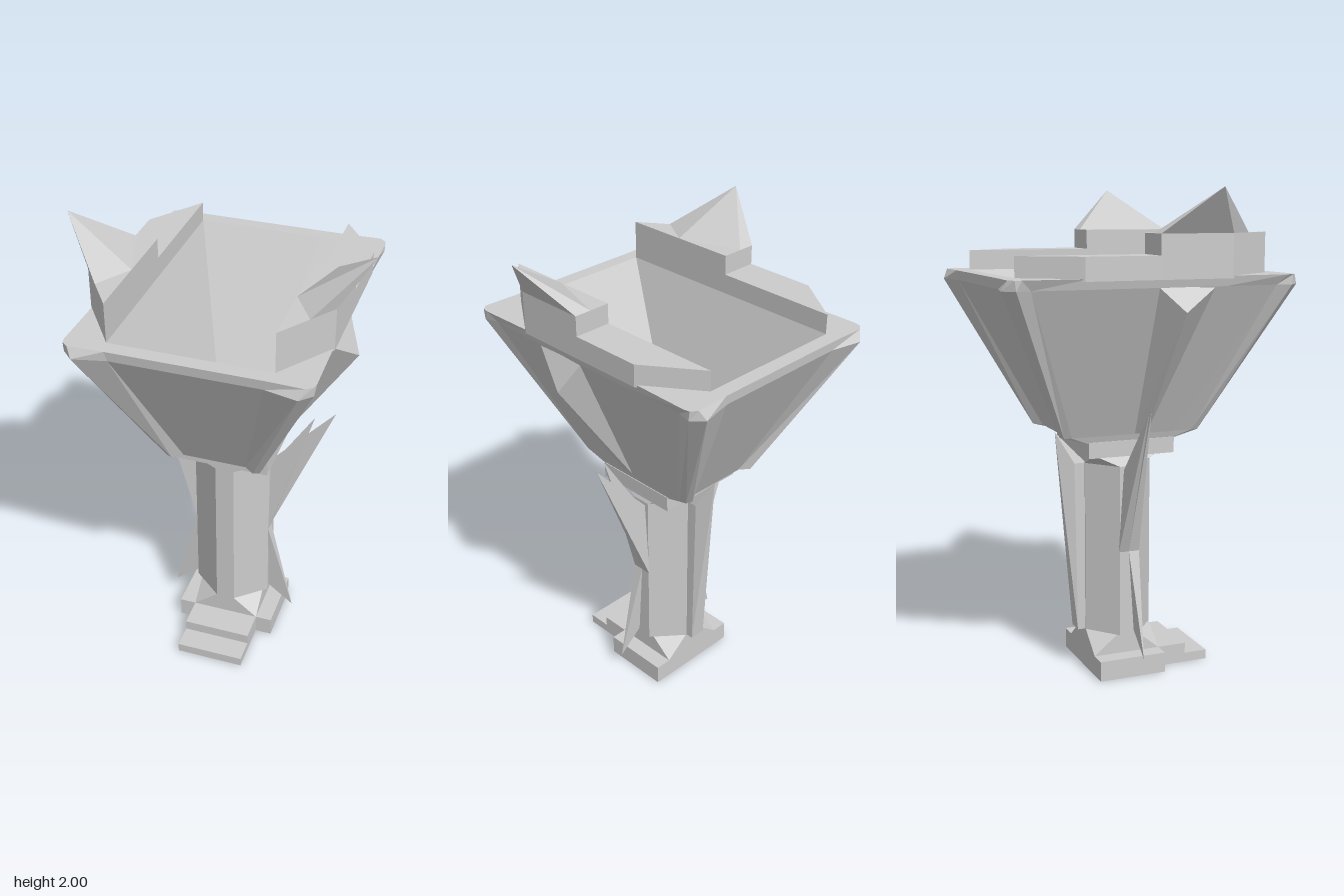
import * as THREE from 'three';
import { ConvexGeometry } from 'three/addons/geometries/ConvexGeometry.js';

export function createModel() {
  const model = new THREE.Group();
  model.name = 'watchTower';
  const stone = new THREE.MeshStandardMaterial({ color: 0xcccccc });
  stone.name = 'stone';

  const add = (name, geometry) => {
    const mesh = new THREE.Mesh(geometry, stone);
    mesh.name = name;
    model.add(mesh);
  };
  const hull = (name, points) =>
    add(name, new ConvexGeometry(points.map((p) => new THREE.Vector3(...p))));
  const box = (name, x0, x1, y0, y1, z0, z1) => {
    const g = new THREE.BoxGeometry(x1 - x0, y1 - y0, z1 - z0);
    add(name, g.translate((x0 + x1) / 2, (y0 + y1) / 2, (z0 + z1) / 2));
  };
  // Straight prism over a plan of [x, z] corners
  const prism = (name, plan, y0, y1) =>
    hull(name, plan.flatMap(([x, z]) => [[x, y0, z], [x, y1, z]]));

  // Mirrors a quarter plan, running from the +x side to the +z side, into a full ring
  const ring = (y, quarter) => {
    const back = [...quarter].reverse();
    return [
      ...quarter.map(([x, z]) => [x, y, z]),
      ...back.map(([x, z]) => [-x, y, z]),
      ...quarter.map(([x, z]) => [-x, y, -z]),
      ...back.map(([x, z]) => [x, y, -z]),
    ];
  };
  const loft = (rings) => {
    const pos = [];
    const tri = (...pts) => pts.forEach((p) => pos.push(...p));
    const n = rings[0].length;
    for (let i = 0; i < rings.length - 1; i++) {
      for (let j = 0; j < n; j++) {
        const k = (j + 1) % n;
        const [a, b, c, d] = [rings[i][j], rings[i][k], rings[i + 1][j], rings[i + 1][k]];
        tri(a, c, b);
        tri(b, c, d);
      }
    }
    const last = rings[rings.length - 1];
    for (let j = 1; j < n - 1; j++) tri(last[0], last[j + 1], last[j]);
    const g = new THREE.BufferGeometry();
    g.setAttribute('position', new THREE.Float32BufferAttribute(pos, 3));
    g.computeVertexNormals();
    return g;
  };

  // Stepped base
  box('base', -0.215, 0.215, 0, 0.085, -0.145, 0.145);
  box('upperStep', -0.145, 0.145, 0, 0.085, 0.145, 0.27);
  box('lowerStep', -0.145, 0.145, 0, 0.04, 0.27, 0.37);

  // Column with cut corners, square at foot and head
  const square = [[0.145, 0.145]];
  const cut = [[0.165, 0.04], [0.04, 0.145]];
  hull('columnFoot', [...ring(0.085, square), ...ring(0.17, [[0.145, 0.04], [0.04, 0.145]])]);
  hull('column', [...ring(0.17, cut), ...ring(0.89, cut)]);
  hull('columnHead', [...ring(0.89, cut), ...ring(0.94, [[0.14, 0.145]])]);
  box('collar', -0.195, 0.195, 0.94, 1.005, -0.185, 0.185);

  // Hollow bowl: outer skin, rim, inner funnel and floor
  add('bowl', loft([
    ring(1.0, [[0.19, 0.1], [0.19, 0.17], [0.19, 0.185], [0.18, 0.19], [0.1, 0.19]]),
    ring(1.03, [[0.2, 0.18], [0.2, 0.26], [0.195, 0.29], [0.17, 0.3], [0.13, 0.27]]),
    ring(1.63, [[0.455, 0.28], [0.45, 0.5], [0.465, 0.56], [0.42, 0.605], [0.29, 0.575]]),
    ring(1.67, [[0.465, 0.28], [0.47, 0.54], [0.465, 0.565], [0.44, 0.585], [0.3, 0.58]]),
    ring(1.67, [[0.315, 0.28], [0.315, 0.52], [0.315, 0.52], [0.315, 0.52], [0.2, 0.52]]),
    ring(1.05, [[0.105, 0.06], [0.105, 0.105], [0.105, 0.105], [0.105, 0.105], [0.06, 0.105]]),
  ]));

  // Rear buttress with a raised point
  hull('rearButtress', [
    ...[-0.035, 0.035].flatMap((x) => [
      [x, 0.17, -0.14], [x, 0.17, -0.178], [x, 0.89, -0.14], [x, 0.89, -0.19],
    ]),
    [0, 1.02, -0.262],
  ]);

  for (const s of [1, -1]) {
    const side = s > 0 ? 'left' : 'right';

    // Parapets and horn
    prism(side + 'FrontParapet',
      [[0.315 * s, 0], [0.47 * s, 0], [0.47 * s, 0.3], [0.315 * s, 0.52]], 1.66, 1.83);
    prism(side + 'RearParapet',
      [[0.315 * s, 0], [0.47 * s, 0], [0.47 * s, -0.3], [0.315 * s, -0.52]], 1.66, 1.75);
    hull(side + 'Horn', [
      ...[[0.4, 0], [0.47, 0], [0.47, 0.3], [0.4, 0.4], [0.315, 0.26]].map(([x, z]) => [x * s, 1.83, z]),
      [0.585 * s, 2, 0.2],
    ]);

    // Fin running down the side of the bowl
    const tip = s > 0 ? [0.515, 1.51, 0.07] : [-0.53, 1.54, 0.08];
    hull(side + 'BowlFin', [
      [0.45 * s, 1.63, 0.24], [0.46 * s, 1.63, 0], [0.4 * s, 1.55, 0.1], tip,
      [0.2 * s, 1.03, 0.06], [0.2 * s, 1.03, 0.01],
    ]);

    // Thin blades sweeping up and down from the column
    const blade = (name, point, y0, y1, z0, z1) => hull(side + name, [
      [0.165 * s, y0, z0], [0.165 * s, y0, z1], [0.16 * s, y1, (z0 + z1) / 2], point,
    ]);
    blade('OuterBlade', [0.42 * s, 1.155, -0.022], 0.53, 0.87, -0.045, 0);
    blade('InnerBlade', [0.345 * s, 1.15, 0.02], 0.53, 0.86, 0, 0.045);
    blade('LowerBlade', [0.277 * s, 0.095, 0.022], 0.53, 0.19, 0, 0.045);
  }
  return model;
}
